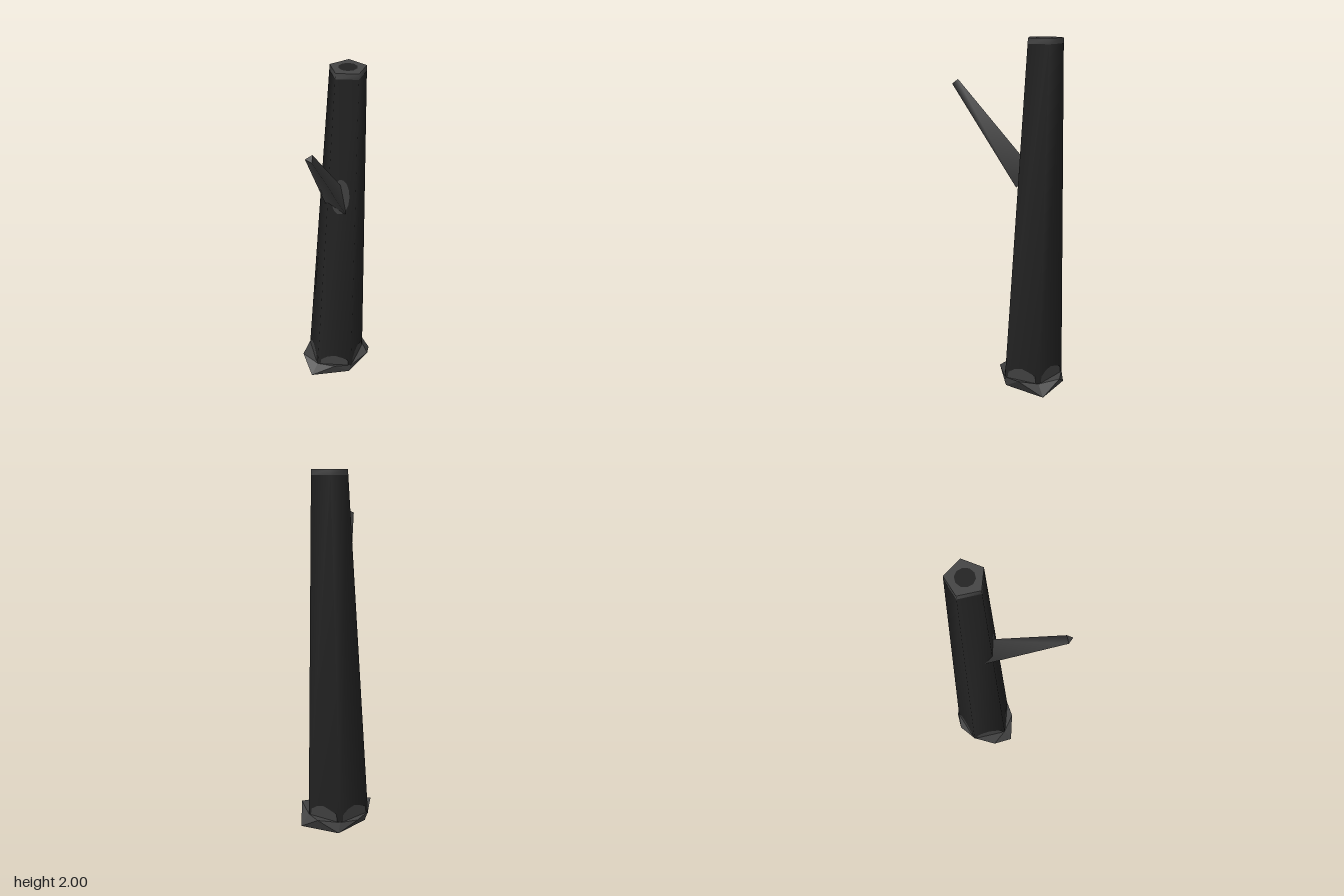
import * as THREE from 'three';

const material = (name, color, side = THREE.FrontSide) => {
  const m = new THREE.MeshStandardMaterial({ color, side });
  m.name = name;
  return m;
};

// Indexed geometry from points and triangles; flat gives one normal per face
function build(points, faces, flat) {
  let g = new THREE.BufferGeometry().setFromPoints(points);
  g.setIndex(faces.flat());
  if (flat) g = g.toNonIndexed();
  g.computeVertexNormals();
  return g;
}

// Skin closed rings of equal length, running clockwise seen from the far end
function loft(rings, flat = false) {
  const n = rings[0].length, faces = [];
  for (let r = 0; r < rings.length - 1; r++) {
    for (let k = 0; k < n; k++) {
      const a = r * n + k, b = r * n + (k + 1) % n;
      faces.push([a, a + n, b], [b, a + n, b + n]);
    }
  }
  return build(rings.flat(), faces, flat);
}

// Flat lid on a ring
function lid(ring) {
  return build(ring, ring.slice(2).map((_, i) => [0, i + 2, i + 1]), true);
}

// Leaning, tapering five-sided trunk
const SIDES = 5;
function corner(k, y) {
  const t = (y - 0.08) / 1.92, r = 0.18 - 0.08 * t;
  const a = Math.PI + (k * 2 * Math.PI) / SIDES;
  return new THREE.Vector3(0.11 + 0.075 * t + r * Math.cos(a), y, -0.015 + r * Math.sin(a));
}
const trunkRing = (y) => Array.from({ length: SIDES }, (_, k) => corner(k, y));

// Thin patch on trunk side k, outlined by [u, y] counter-clockwise from outside
function patch(k, outline) {
  const mid = (2 * Math.PI * (k + 0.5)) / SIDES + Math.PI;
  const out = new THREE.Vector3(Math.cos(mid), 0, Math.sin(mid)).multiplyScalar(0.003);
  const pts = outline.map(([u, y]) => corner(k, y).lerp(corner(k + 1, y), u).add(out));
  return build(pts, pts.slice(2).map((_, i) => [0, i + 1, i + 2]), true);
}

export function createModel() {
  const group = new THREE.Group();
  const bark = material('dark bark', 0x222222);
  const wood = material('pale wood', 0x444444);
  const limb = material('branch bark', 0x3e3e3e);
  const patchWood = material('pale patch', 0x3f3f3f, THREE.DoubleSide);
  const add = (name, geometry, mat) => {
    const mesh = new THREE.Mesh(geometry, mat);
    mesh.name = name;
    group.add(mesh);
    return mesh;
  };

  // Trunk with a pale rim and cut top
  add('trunk', loft([trunkRing(0.05), trunkRing(1.97)]), bark);
  add('trunkRim', loft([trunkRing(1.97), trunkRing(2)]), wood);
  add('trunkTop', lid(trunkRing(2)), wood);
  const heart = add('heartwood', new THREE.CircleGeometry(0.05, 10), bark);
  heart.rotation.x = -Math.PI / 2;
  heart.position.set(0.185, 2.001, -0.015);

  // Root flare: low points under the corners, raised points between them
  const v = (x, y, z) => new THREE.Vector3(x, y, z);
  const low = [v(-0.13, 0, -0.015), v(0.05, 0, -0.165), v(0.27, 0, -0.12), v(0.305, 0, 0.11), v(0.05, 0, 0.145)];
  const high = [v(-0.08, 0.08, -0.13), v(0.175, 0.06, -0.19), v(0.325, 0.075, -0.015), v(0.185, 0.09, 0.187), v(-0.04, 0.085, 0.1)];
  const collar = trunkRing(0.06);
  const faces = [];
  for (let k = 0; k < SIDES; k++) {
    const n = (k + 1) % SIDES;
    faces.push([k, 5 + k, n], [k, 10 + k, 5 + k], [n, 5 + k, 10 + n], [10 + k, 10 + n, 5 + k]);
  }
  for (let k = 1; k < SIDES - 1; k++) faces.push([0, k, k + 1]);
  // Trunk corners run clockwise seen from above; these lists do too
  add('roots', build([...low, ...high, ...collar], faces, true), wood);
  const hollow = add('rootUnderside', new THREE.CircleGeometry(0.13, 10), bark);
  hollow.rotation.x = Math.PI / 2;
  hollow.position.set(0.11, -0.001, -0.01);

  // Pale scallops where each trunk side meets the roots
  for (let k = 0; k < SIDES; k++) {
    add('rootScallop', patch(k, [[0.92, 0.055], [0.9, 0.1], [0.72, 0.125], [0.5, 0.135], [0.28, 0.12], [0.1, 0.105], [0.08, 0.055]]), patchWood);
  }

  // Three-sided tapering branch
  const start = v(0.07, 1.26, 0.02), tip = v(-0.31, 1.752, 0.155);
  const axis = tip.clone().sub(start).normalize();
  const e1 = v(0.793, 0.609, 0);
  const e2 = axis.clone().cross(e1).normalize();
  const branchRing = (t, r) => [0, 1, 2].map((k) => {
    const a = (-k * 2 * Math.PI) / 3;
    return start.clone().lerp(tip, t).addScaledVector(e1, r * Math.cos(a)).addScaledVector(e2, r * Math.sin(a));
  });
  add('branch', loft([branchRing(-0.06, 0.078), branchRing(1, 0.024)]), limb);
  add('branchTip', lid(branchRing(1, 0.024)), limb);

  // Pale bark around the branch
  const oval = Array.from({ length: 14 }, (_, i) => {
    const a = (-i * 2 * Math.PI) / 14;
    return [0.45 + 0.33 * Math.cos(a), 1.295 + 0.11 * Math.sin(a)];
  });
  add('branchCollar', patch(4, oval.map(([u, y]) => [1 - u, y])), patchWood);
  return group;
}
